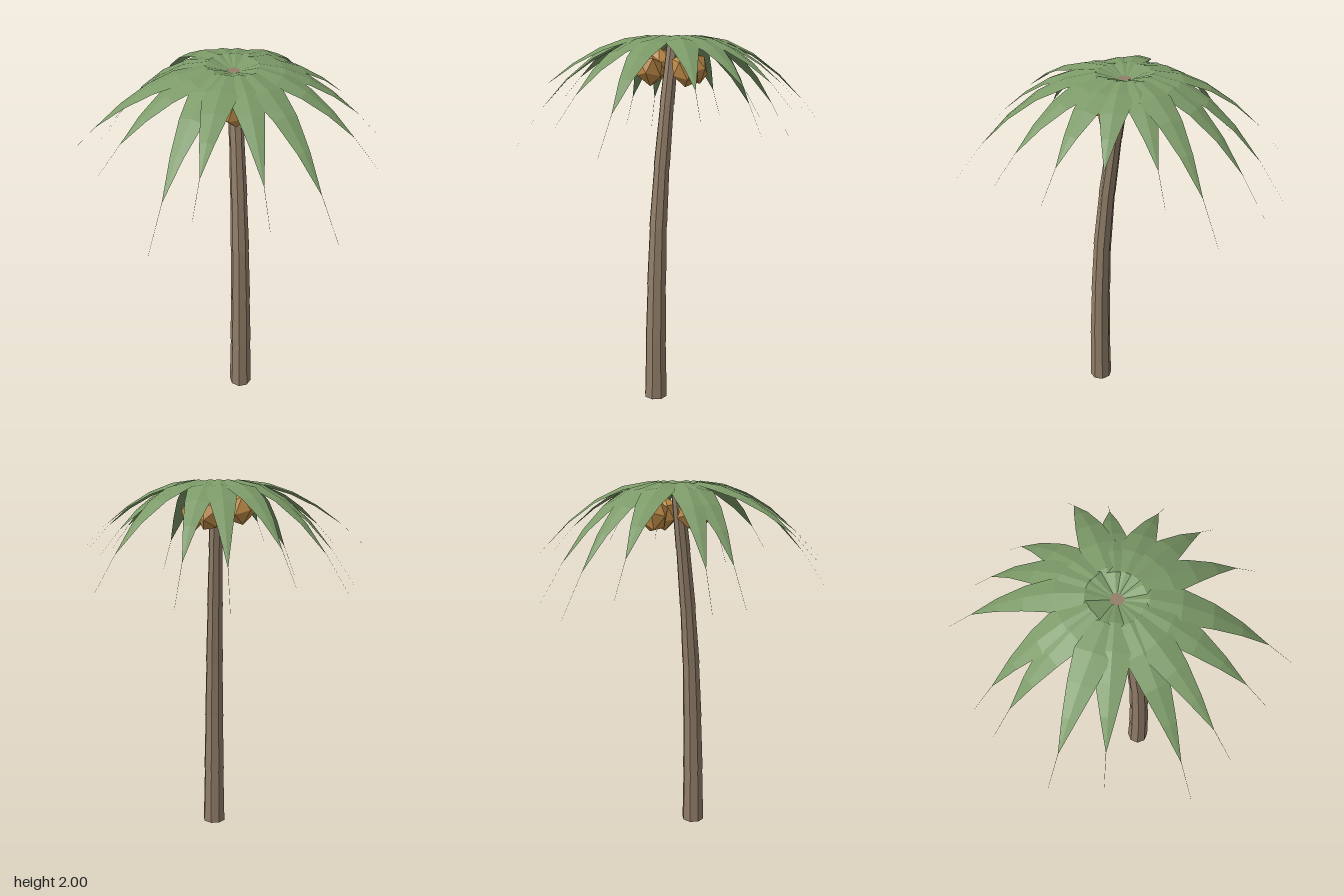
import * as THREE from 'three';

const mat = (name, color) => Object.assign(new THREE.MeshStandardMaterial({ color, flatShading: true }), { name });

// One drooping frond: a folded strip from the crown to tip (x, y, z)
function frondGeometry(x, y, z) {
  const half = [0.012, 0.05, 0.085, 0.063, 0.034, 0.001, 0.0005];
  const len = Math.hypot(x, z), sx = -z / len, sz = x / len;
  const pos = [], index = [];
  half.forEach((w, k) => {
    const t = k / 6;
    const py = k === 0 ? 1.955 : 1.998 - (1.998 - y) * Math.pow((k - 1) / 5, 1.9);
    for (const s of [-1, 0, 1])
      pos.push(x * t + sx * w * s, py - Math.abs(s) * w * 0.2, z * t + sz * w * s);
    if (k < 6) for (const c of [0, 1]) {
      const a = k * 3 + c, b = a + 1, d = a + 3, e = a + 4;
      index.push(a, b, d, b, e, d);
    }
  });
  let g = new THREE.BufferGeometry();
  g.setAttribute('position', new THREE.Float32BufferAttribute(pos, 3));
  g.setIndex(index);
  g = g.toNonIndexed();
  g.computeVertexNormals();
  return g;
}

// Tapered trunk piece whose top is shifted sideways to follow the bend
function trunkGeometry(y0, y1, c0, c1, r0, r1) {
  const h = y1 - y0;
  let g = new THREE.CylinderGeometry(r1, r0, h, 8);
  g.rotateY(Math.PI / 8);
  const p = g.attributes.position;
  for (let i = 0; i < p.count; i++) {
    const t = p.getY(i) / h + 0.5, c = c0 + (c1 - c0) * t;
    p.setXYZ(i, p.getX(i) + c, y0 + t * h, p.getZ(i) + c);
  }
  g = g.toNonIndexed();
  g.computeVertexNormals();
  return g;
}

export function createModel() {
  const model = new THREE.Group();
  model.name = 'palmTree';
  const bark = mat('bark', 0x927e69);
  const leaf = mat('leaf', 0x7c9a68);
  leaf.side = THREE.DoubleSide;
  const shell = mat('coconutShell', 0xc08c48);

  const add = (parent, name, geometry, material) => {
    const mesh = new THREE.Mesh(geometry, material);
    mesh.name = name;
    parent.add(mesh);
    return mesh;
  };
  const group = (name) => {
    const g = new THREE.Group();
    g.name = name;
    model.add(g);
    return g;
  };

  // Trunk: six stacked pieces, each overhanging the one beneath
  const trunk = group('trunk');
  const centre = [0.112, 0.11, 0.104, 0.093, 0.071, 0.04, 0.003];
  for (let i = 0; i < 6; i++) {
    const r = 0.065 - i * 0.0048;
    add(trunk, 'trunkSegment', trunkGeometry(i * 0.3275, (i + 1) * 0.3275,
      centre[i], centre[i + 1], r, r - 0.0075), bark);
  }

  // Crown: tip position of each frond
  const crown = group('crown');
  const tips = [
    [0.05, 1.46, -0.85], [0.21, 1.62, -0.66], [0.47, 1.64, -0.535], [0.655, 1.62, -0.34],
    [0.757, 1.61, -0.054], [0.774, 1.45, 0.405], [0.53, 1.565, 0.605], [0.25, 1.63, 0.785],
    [0.05, 1.41, 0.85], [-0.325, 1.63, 0.695], [-0.562, 1.64, 0.615], [-0.724, 1.45, 0.24],
    [-0.776, 1.44, 0.076], [-0.753, 1.51, -0.36], [-0.567, 1.39, -0.6], [-0.338, 1.42, -0.716],
  ];
  for (const tip of tips) add(crown, 'frond', frondGeometry(...tip), leaf);

  // Coconuts around the top of the trunk
  const coconuts = group('coconuts');
  const nuts = [
    [-0.12, 1.85, 0.06, 0.4], [0.115, 1.82, -0.05, 1.3],
    [0.08, 1.825, 0.135, 2.2], [-0.05, 1.825, -0.12, 3.3],
  ];
  for (const [x, y, z, turn] of nuts) {
    const nut = add(coconuts, 'coconut', new THREE.IcosahedronGeometry(0.078, 0), shell);
    nut.position.set(x, y, z);
    nut.rotation.set(0.25, turn, 0.2);
    nut.scale.set(0.95, 1.2, 0.95);
  }
  return model;
}
